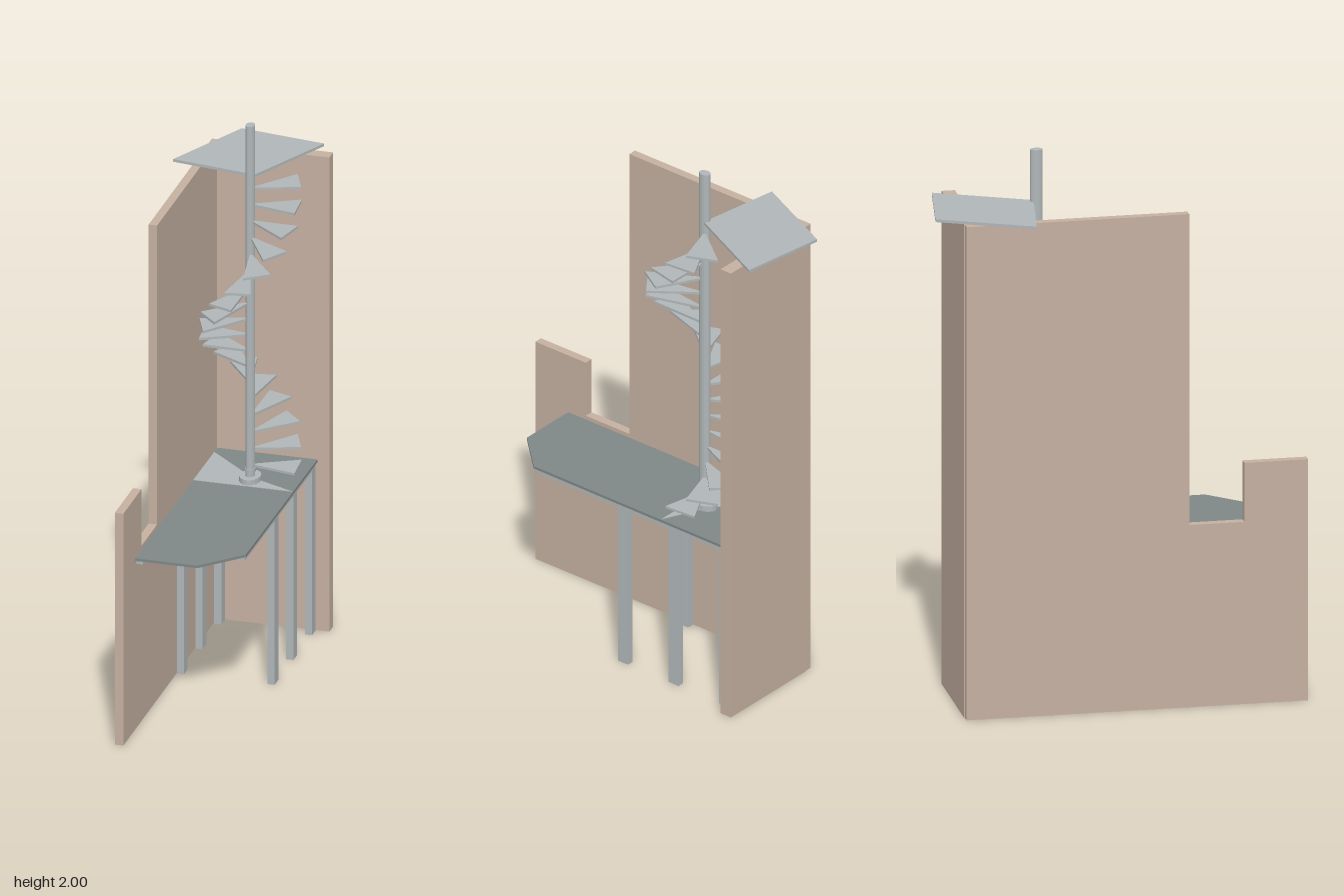
import * as THREE from 'three';

const mat = (color) => new THREE.MeshStandardMaterial({ color, flatShading: true });
const wallMat = mat(0xc4b0a0), steelMat = mat(0xb0b6b8), deckMat = mat(0x7f8787);

// Pole axis, and the squashed radii of the spiral
const PX = 0.041, PZ = -0.268, RX = 0.174, RZ = 0.232, SQUASH = RX / RZ;

export function createModel() {
  const model = new THREE.Group();

  const add = (name, geometry, material, x = 0, y = 0, z = 0) => {
    const mesh = new THREE.Mesh(geometry, material);
    mesh.name = name;
    mesh.position.set(x, y, z);
    model.add(mesh);
    return mesh;
  };
  const extrude = (points, depth) => new THREE.ExtrudeGeometry(
    new THREE.Shape(points.map(([a, b]) => new THREE.Vector2(a, b))),
    { depth, bevelEnabled: false });
  // Horizontal plate from [x, z] corners, standing on y
  const plate = (name, corners, y, height, material) =>
    add(name, extrude(corners.map(([x, z]) => [x, -z]), height).rotateX(-Math.PI / 2), material, 0, y, 0);
  // Box given by its limits
  const box = (name, x0, x1, y0, y1, z0, z1, material) =>
    add(name, new THREE.BoxGeometry(x1 - x0, y1 - y0, z1 - z0), material,
      (x0 + x1) / 2, (y0 + y1) / 2, (z0 + z1) / 2);

  // Stepped side wall, very slightly turned, and back wall
  const profile = [[-0.56, 0], [0.655, 0], [0.655, 0.88], [0.428, 0.88],
    [0.428, 0.665], [0.232, 0.665], [0.232, 1.8], [-0.56, 1.8]];
  const side = add('sideWall', extrude(profile, 0.031).rotateY(-Math.PI / 2), wallMat, -0.151, 0, 0);
  side.rotation.y = 0.006;
  box('backWall', -0.155, 0.255, 0, 1.8, -0.563, -0.516, wallMat);

  // Lower deck with a cut corner, and the lighter panel under the stair
  plate('deck', [[-0.15, -0.512], [0.213, -0.512], [0.213, 0.365], [0.078, 0.507], [-0.15, 0.507]],
    0.64, 0.01, deckMat);
  plate('deckPanel', [[-0.15, -0.47], [-0.15, -0.212], [0.21, -0.212], [PX, -0.29]], 0.65, 0.002, steelMat);

  // Legs, cross beams and long beams
  const beamX = [[-0.15, -0.124, 0.49], [0.18, 0.206, 0.35]];
  for (const [x0, x1, front] of beamX) {
    box('longBeam', x0, x1, 0.622, 0.64, -0.512, front, steelMat);
    for (const z of [-0.033, -0.262, -0.491])
      box('leg', x0, x1, 0, 0.622, z - 0.023, z + 0.023, steelMat);
  }
  for (const z of [-0.033, -0.262, -0.491])
    box('crossBeam', -0.124, 0.18, 0.622, 0.64, z - 0.023, z + 0.023, steelMat);

  // Central pole with base flange and collar
  const round = (name, r, y0, y1) => {
    const m = add(name, new THREE.CylinderGeometry(r, r, y1 - y0, 16), steelMat, PX, (y0 + y1) / 2, PZ);
    m.scale.x = SQUASH;
  };
  round('pole', 0.022, 0.65, 2);
  round('poleFlange', 0.05, 0.65, 0.671);
  round('poleCollar', 0.025, 0.685, 0.7);

  // Wedge treads, sixteen to a full turn
  const deg = Math.PI / 180;
  for (let i = 0; i < 18; i++) {
    const a = (i * 22.5 - 9) * deg, b = (i * 22.5 + 22) * deg;
    const rim = (t) => [PX + RX * Math.cos(t), PZ - RZ * Math.sin(t)];
    plate('tread', [[PX, PZ], rim(a), rim(b)], 0.704 + i * 0.0617, 0.009, steelMat);
  }

  // Upper landing
  plate('upperLanding', [[0.055, -0.275], [0.209, -0.607], [-0.105, -0.655], [-0.257, -0.325]],
    1.8, 0.01, steelMat);

  return model;
}
